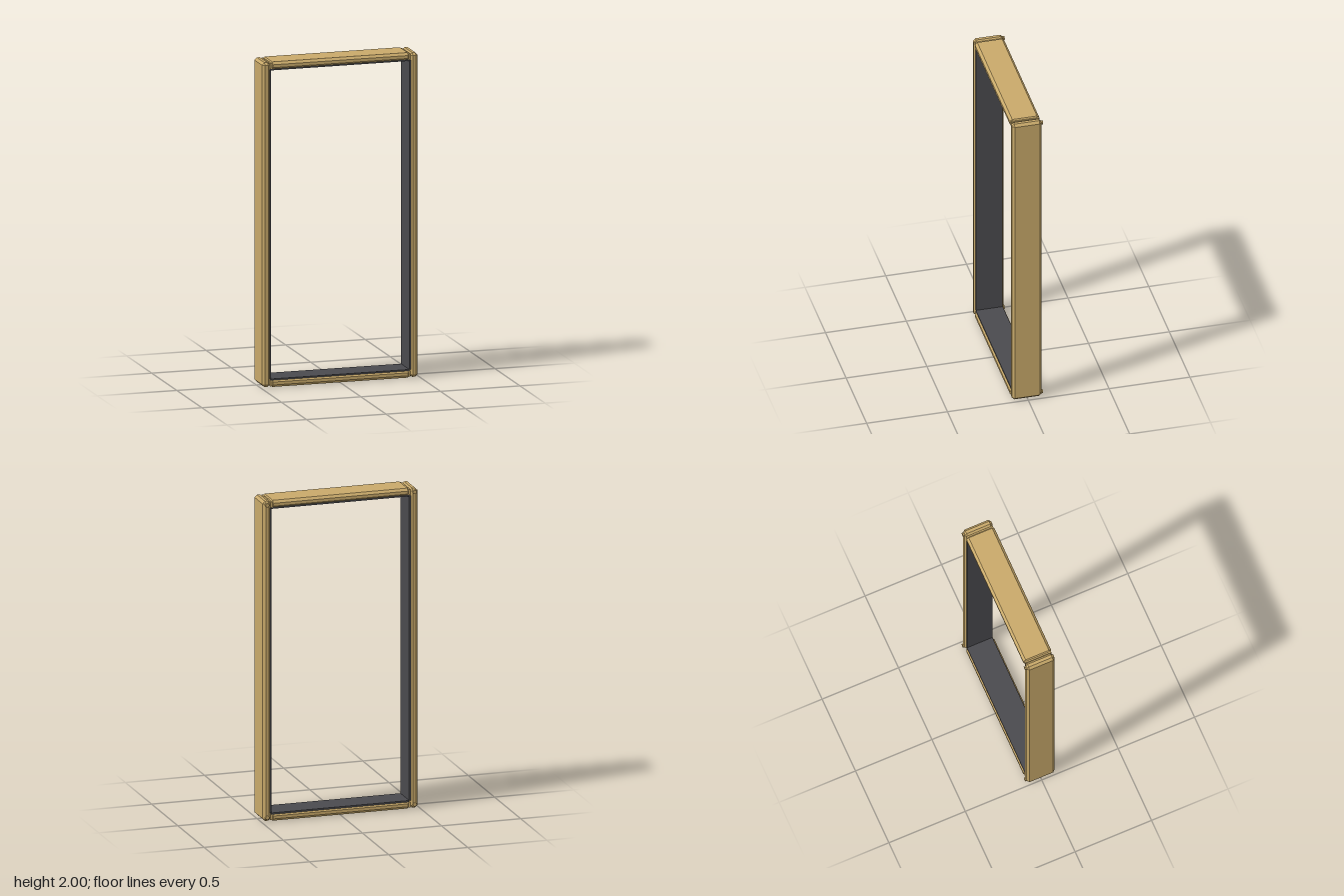
import * as THREE from 'three';
import { ConvexGeometry } from 'three/addons/geometries/ConvexGeometry.js';

const mat = (name, color) => {
  const m = new THREE.MeshStandardMaterial({ color });
  m.name = name;
  return m;
};

// Box with every edge cut at 45 degrees
function chamferedBox(w, h, d, c) {
  const half = [w / 2, h / 2, d / 2];
  const points = [];
  for (const sx of [-1, 1]) for (const sy of [-1, 1]) for (const sz of [-1, 1])
    for (let full = 0; full < 3; full++) {
      const p = half.map((v, i) => (i === full ? v : v - c));
      points.push(new THREE.Vector3(sx * p[0], sy * p[1], sz * p[2]));
    }
  return new ConvexGeometry(points);
}

export function createModel() {
  const model = new THREE.Group();
  model.name = 'doorFrame';
  const gold = mat('gold', 0xc8a96a);
  const dark = mat('darkGrey', 0x4a4a4e);

  const add = (name, geometry, material, x, y, z) => {
    const mesh = new THREE.Mesh(geometry, material);
    mesh.name = name;
    mesh.position.set(x, y, z);
    model.add(mesh);
    return mesh;
  };

  // Side posts, with their liners and back pegs
  const post = chamferedBox(0.049, 1.992, 0.184, 0.015);
  const sideLiner = new THREE.BoxGeometry(0.01, 1.9, 0.166);
  const peg = new THREE.CylinderGeometry(0.0125, 0.0125, 0.02, 8).toNonIndexed();
  peg.rotateX(Math.PI / 2);
  peg.computeVertexNormals();
  for (const s of [-1, 1]) {
    const side = s > 0 ? 'left' : 'right';
    add(side + 'Post', post, gold, s * 0.4645, 1.002, 0.003);
    add(side + 'Liner', sideLiner, dark, s * 0.44, 1.003, 0.003);
    for (const y of [0.03, 1.977]) add(side + 'Peg', peg, gold, s * 0.4655, y, -0.0875);
  }

  // Top and bottom rails, with end tenons and liners
  const rail = chamferedBox(0.88, 0.048, 0.183, 0.015);
  const tenon = new THREE.BoxGeometry(0.016, 0.034, 0.172);
  const railLiner = new THREE.BoxGeometry(0.87, 0.01, 0.166);
  for (const [name, y, s] of [['top', 1.976, 1], ['bottom', 0.027, -1]]) {
    add(name + 'Rail', rail, gold, 0, y, 0.0035);
    add(name + 'Liner', railLiner, dark, 0, y - s * 0.022, 0.003);
    for (const e of [-1, 1]) add(name + 'Tenon', tenon, gold, e * 0.433, y, 0.0035);
  }
  return model;
}
